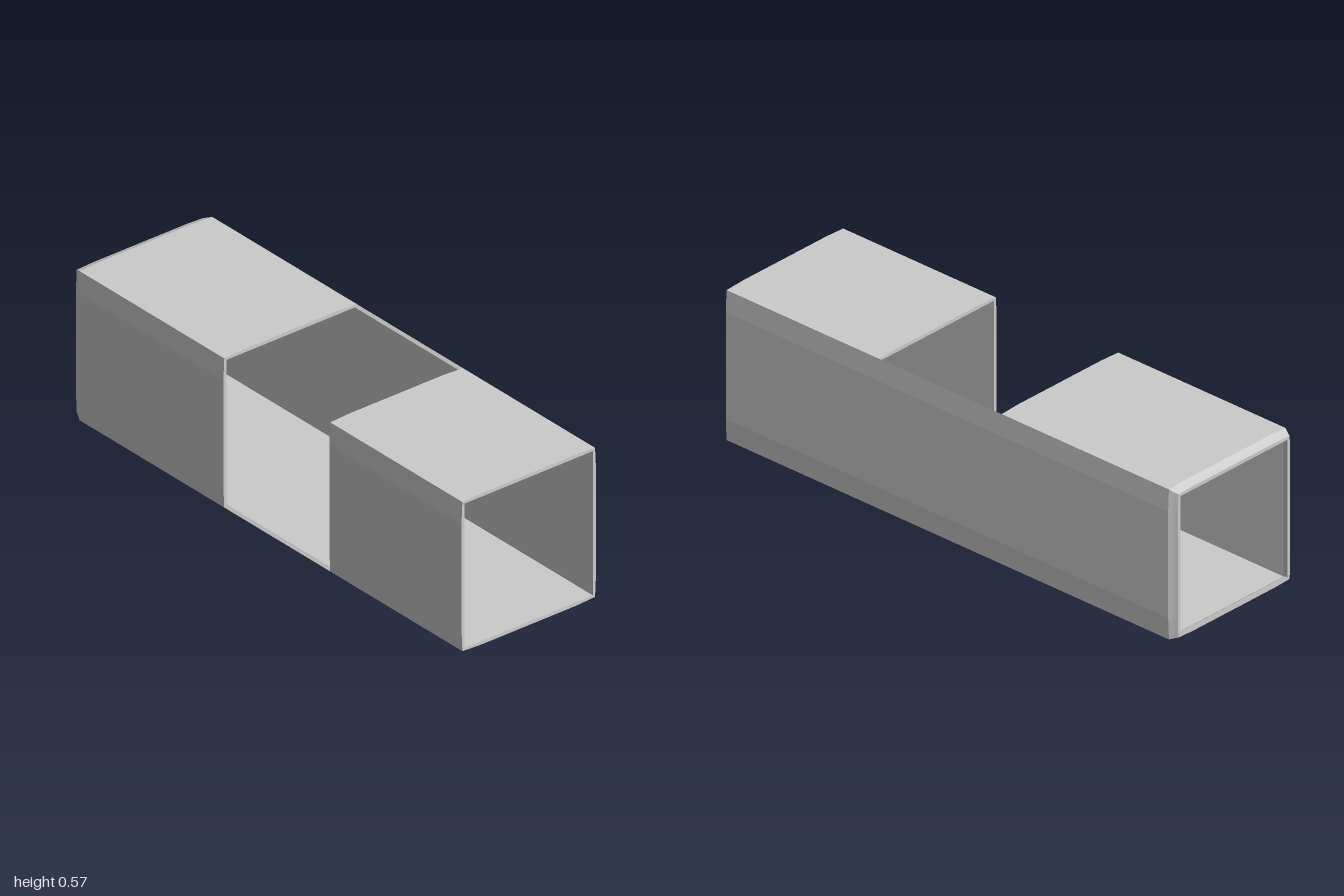
import * as THREE from 'three';

const HALF = 0.285;

// Stations along x: [x, corner, bulge, inner] half sizes of the square section
const mouth = [
  [-1, 0.268, 0.271, 0.258],
  [-0.985, 0.274, 0.277, 0.262],
  [-0.97, 0.281, HALF, 0.272],
];
const body = (x) => [x, 0.281, HALF, 0.272];

// One mitred wall, lofted from cross-sections along x
function wallGeometry(stations) {
  const rings = stations.map(([x, c, h, i]) =>
    [[-i, i], [i, i], [c, c], [0.2, h], [-0.2, h], [-c, c]].map(([u, v]) => [x, v, -u]));
  const pos = [];
  const tri = (a, b, c) => pos.push(...a, ...b, ...c);
  const n = 6;
  for (let s = 0; s < rings.length - 1; s++) {
    const a = rings[s], b = rings[s + 1];
    for (let j = 0; j < n; j++) {
      const k = (j + 1) % n;
      tri(a[j], a[k], b[k]);
      tri(a[j], b[k], b[j]);
    }
  }
  // end caps
  const first = rings[0], last = rings[rings.length - 1];
  for (let j = 1; j < n - 1; j++) {
    tri(first[0], first[j + 1], first[j]);
    tri(last[0], last[j], last[j + 1]);
  }
  const geo = new THREE.BufferGeometry();
  geo.setAttribute('position', new THREE.Float32BufferAttribute(pos, 3));
  geo.computeVertexNormals();
  return geo;
}

export function createModel() {
  const model = new THREE.Group();
  model.name = 'squareDuct';
  const material = new THREE.MeshStandardMaterial({ color: 0xcccccc, flatShading: true });

  const addWall = (name, angle, stations) => {
    const mesh = new THREE.Mesh(wallGeometry(stations), material);
    mesh.name = name;
    mesh.rotation.x = angle;
    mesh.position.y = HALF;
    model.add(mesh);
  };

  // floor and back run the full length
  addWall('floor', Math.PI, [...mouth, body(1)]);
  addWall('backWall', -Math.PI / 2, [...mouth, body(1)]);

  // top and front are interrupted by the window
  for (const [name, angle] of [['top', 0], ['front', Math.PI / 2]]) {
    addWall(name + 'WallRight', angle, [...mouth, body(-0.225)]);
    addWall(name + 'WallLeft', angle, [body(0.32), body(1)]);
  }
  return model;
}
